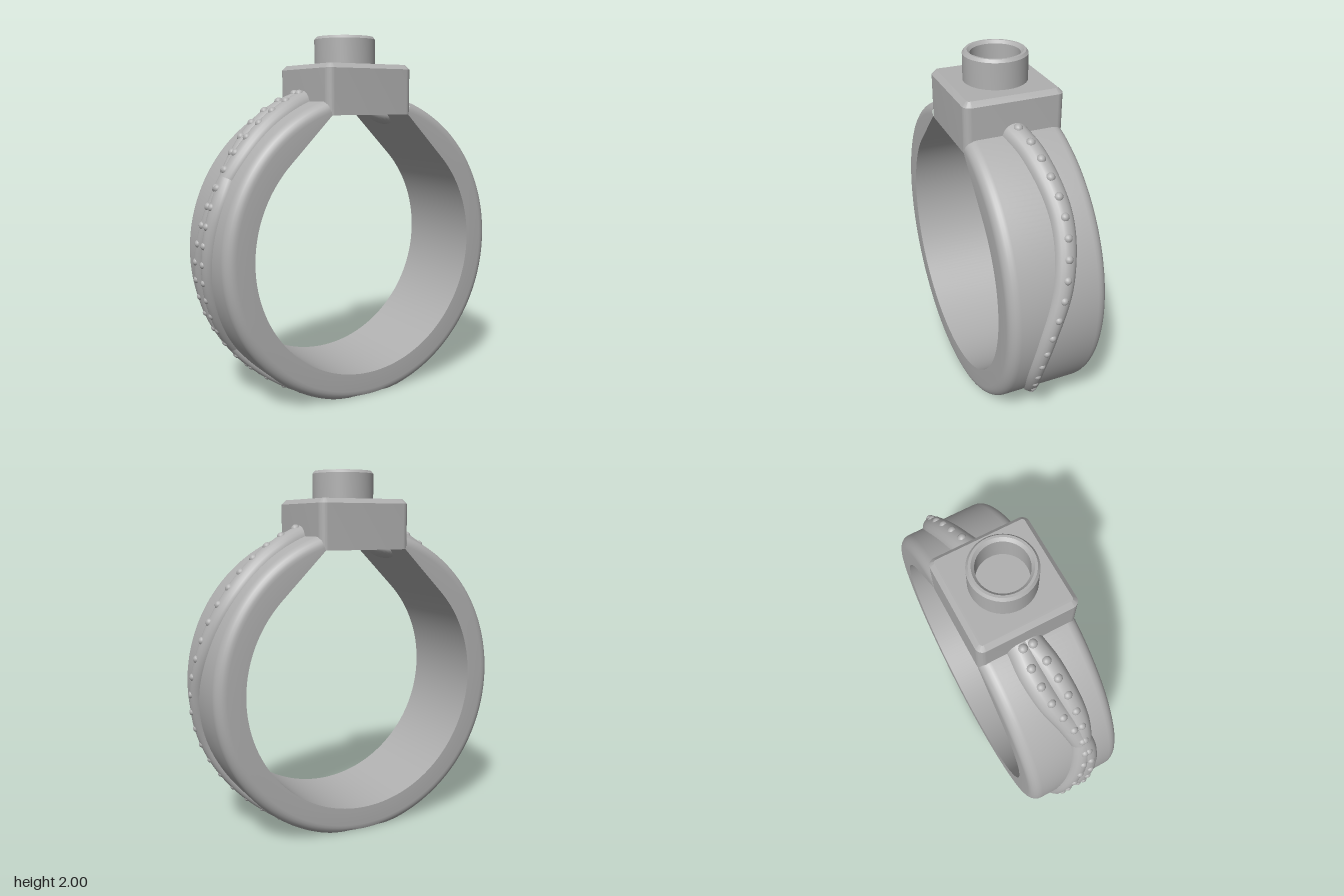
import * as THREE from 'three';
import { toCreasedNormals } from 'three/addons/utils/BufferGeometryUtils.js';

const CY = 0.83;          // height of the ring's centre
const OUTER = 0.86, INNER = 0.7, HALF = 0.27, FILLET = 0.06;
const VINE_R = 0.84;      // radius of the vine's centre line
const rad = THREE.MathUtils.degToRad;

const metal = new THREE.MeshStandardMaterial({ color: 0xb0b0b0 });
metal.name = 'grey metal';

function add(parent, name, geometry) {
  const mesh = new THREE.Mesh(geometry, metal);
  mesh.name = name;
  parent.add(mesh);
  return mesh;
}

// Sweeps a closed (radius, z) section around the ring; y is cut flat at the base
function sweep(from, to, steps, section, crease) {
  const pos = [], index = [];
  let n = 0;
  for (let i = 0; i <= steps; i++) {
    const deg = from + (to - from) * i / steps, a = rad(deg);
    const loop = section(deg);
    n = loop.length;
    for (const [r, z] of loop) pos.push(r * Math.cos(a), Math.max(0, CY + r * Math.sin(a)), z);
  }
  for (let i = 0; i < steps; i++) {
    for (let j = 0; j < n; j++) {
      const a = i * n + j, b = i * n + (j + 1) % n;
      index.push(a, a + n, b + n, a, b + n, b);
    }
  }
  const g = new THREE.BufferGeometry();
  g.setAttribute('position', new THREE.Float32BufferAttribute(pos, 3));
  g.setIndex(index);
  return toCreasedNormals(g, crease);
}

// Band section: rounded outer edges; the bore runs straight near the shoulders
function bandSection(deg) {
  const up = 90 - Math.abs(((deg % 360) + 360) % 360 - 90);
  const inner = up > 45 ? INNER / Math.cos(rad(up - 45)) : INNER;
  const pts = [[inner, -HALF]];
  for (const [side, start] of [[-1, -90], [1, 0]]) {
    for (let k = 0; k <= 6; k++) {
      const a = rad(start + 15 * k);
      pts.push([OUTER - FILLET + FILLET * Math.cos(a), side * (HALF - FILLET) + FILLET * Math.sin(a)]);
    }
  }
  pts.push([inner, HALF]);
  return pts;
}

// Vine thickness, tapering from the shoulder to the base
const vineRadius = (up) => up > 0 ? 0.055 + 0.02 * up / 72 : 0.055 + 0.015 * up / 72;

// Smooth sideways offset through [angle, z] stations
function wave(stations) {
  const curve = new THREE.SplineCurve(stations.map(([d, z]) => new THREE.Vector2(d, z)));
  const pts = curve.getPoints(120);
  return (deg) => {
    let k = 1;
    while (k < pts.length - 1 && pts[k].x > deg) k++;
    const p = pts[k - 1], q = pts[k];
    return p.y + (q.y - p.y) * THREE.MathUtils.clamp((p.x - deg) / (p.x - q.x), 0, 1);
  };
}

// A vine strand with its row of beads; side is +1 or -1 in x
function makeVine(name, side, offset) {
  const group = new THREE.Group();
  group.name = name;
  const toUp = (deg) => side > 0 ? deg : 180 - deg;
  const section = (deg) => {
    const up = toUp(deg), r = vineRadius(up), z = offset(up);
    return Array.from({ length: 20 }, (_, k) => {
      const a = k / 20 * Math.PI * 2;
      return [VINE_R + r * Math.cos(a), z + r * Math.sin(a)];
    });
  };
  const [from, to] = side > 0 ? [-82, 78] : [102, 262];
  add(group, 'strand', sweep(from, to, 110, section, 1.2));

  const bead = new THREE.SphereGeometry(1, 14, 10);
  for (let k = 0; k < 22; k++) {
    const up = 71 - 6.55 * k, r = VINE_R + vineRadius(up) - 0.012;
    const size = 0.026 - 0.0004 * k;
    const m = add(group, 'bead', bead);
    m.position.set(side * r * Math.cos(rad(up)), Math.max(size, CY + r * Math.sin(rad(up))), offset(up));
    m.scale.setScalar(size);
  }
  return group;
}

export function createModel() {
  const model = new THREE.Group();
  model.name = 'ring';

  // Band, open under the head
  add(model, 'band', sweep(108.2, 431.8, 180, bandSection, 0.6));

  // Vines: one on the left side, two crossing on the right side
  const main = [[80, 0.02], [72, 0], [60, -0.04], [38, -0.07], [17, -0.025], [-3, 0.065],
    [-20, 0.1], [-36, 0.07], [-49, 0.015], [-60, -0.05], [-72, -0.1], [-84, -0.13]];
  const second = [[80, -0.045], [71, -0.05], [62, -0.055], [50, -0.03], [37, 0.03], [22, 0.075],
    [5, 0.055], [-15, 0], [-35, -0.06], [-50, -0.08], [-72, -0.03], [-84, 0]];
  model.add(makeVine('leftVine', 1, wave(main)));
  model.add(makeVine('rightVine', -1, wave(main.map(([d, z]) => [d, -z]))));
  model.add(makeVine('rightCrossingVine', -1, wave(second)));

  // Vine roots showing beneath the head
  for (const side of [1, -1]) {
    const root = add(model, 'vineRoot', new THREE.SphereGeometry(1, 24, 16));
    root.position.set(side * 0.235, 1.57, side > 0 ? 0.01 : -0.02);
    root.scale.set(0.09, 0.045, side > 0 ? 0.06 : 0.085);
    root.rotation.z = -side * 0.4;
  }

  // Square head with rounded corners and a bevelled top
  const c = 0.04, bevel = 0.025, bottom = 1.575;
  const square = new THREE.Shape();
  [[1, 1, 0], [-1, 1, 90], [-1, -1, 180], [1, -1, 270]].forEach(([x, y, d]) =>
    square.absarc(x * (HALF - c), y * (HALF - c), c, rad(d), rad(d + 90), false));
  const head = new THREE.ExtrudeGeometry(square, {
    depth: 1.82 - bottom, bevelEnabled: true, bevelThickness: bevel, bevelSize: bevel,
    bevelOffset: -bevel, bevelSegments: 1, curveSegments: 6,
  });
  head.rotateX(-Math.PI / 2).translate(0, bottom, 0);
  const p = head.attributes.position;
  for (let i = 0; i < p.count; i++) p.setY(i, Math.max(bottom, p.getY(i)));
  add(model, 'head', toCreasedNormals(head, 0.5));

  // Hollow round collar on top
  const profile = [[0.17, 1.83], [0.17, 1.985], [0.158, 2], [0.145, 2], [0.13, 1.985], [0.13, 1.86], [0, 1.86]]
    .map(([x, y]) => new THREE.Vector2(x, y));
  add(model, 'collar', toCreasedNormals(new THREE.LatheGeometry(profile, 64), 0.5));

  return model;
}
